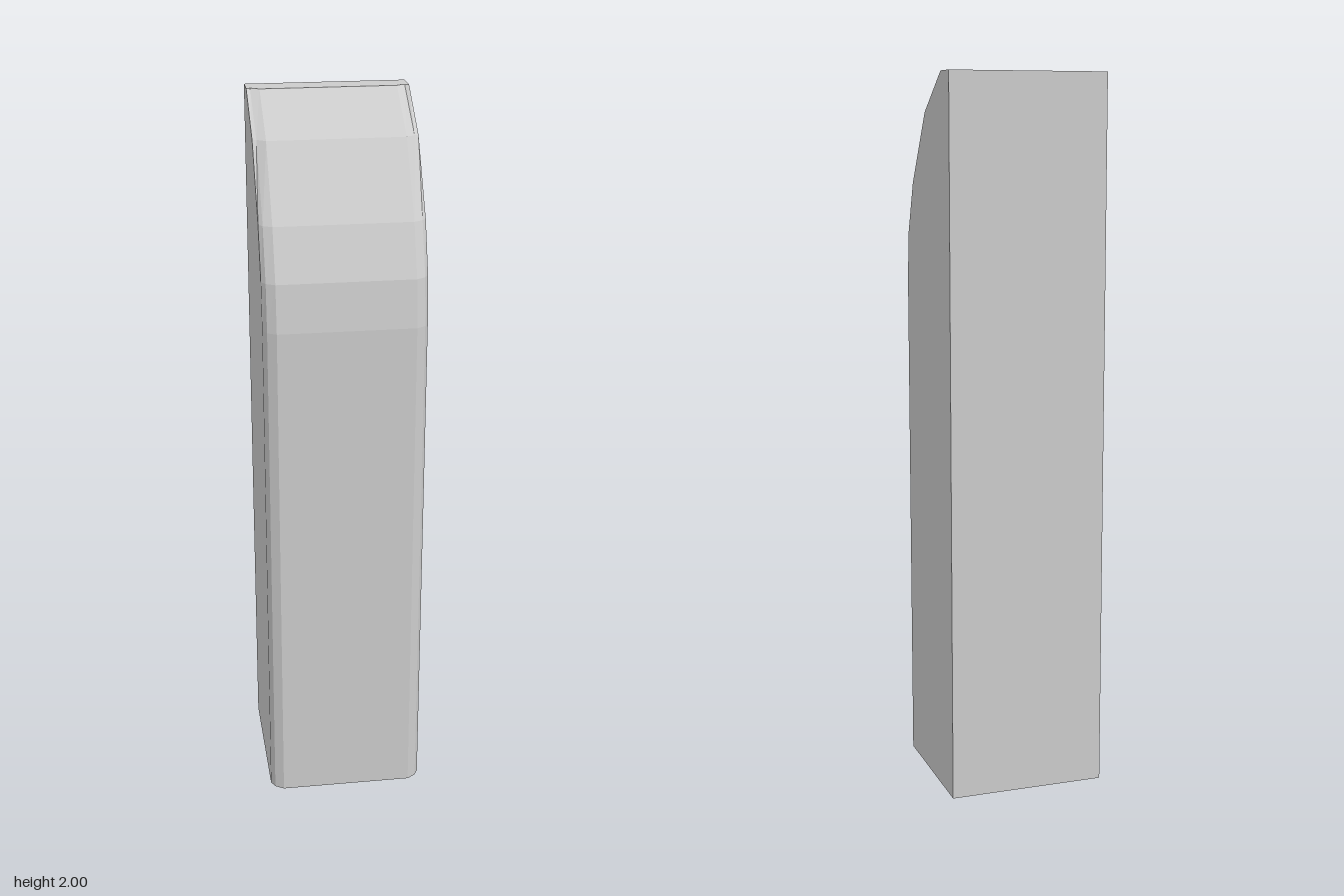
import * as THREE from 'three';

const HALF = 0.222; // half width, and distance to the flat back

// Rows up the post: height, then front z at the side edge, bevel middle and face
const ROWS = [
  [0, 0.186, 0.207, 0.222],
  [1.43, 0.186, 0.207, 0.222],
  [1.56, 0.174, 0.191, 0.205],
  [1.70, 0.125, 0.138, 0.151],
  [1.895, 0, 0.002, 0.019],
  [2, -0.15, -0.158, -0.143],
];

// Horizontal cross-section: square back corners, two-step bevelled front corners
function section([y, side, bevel, face]) {
  const left = [[HALF, -HALF], [HALF, side], [0.211, bevel], [0.187, face]];
  const right = left.map(([x, z]) => [-x, z]);
  return [...right, ...left.reverse()].map(([x, z]) => [x, y, z]);
}

function postGeometry() {
  const rings = ROWS.map(section);
  const n = rings[0].length;
  const pos = [];
  const tri = (a, b, c) => pos.push(...a, ...b, ...c);

  // Walls between neighbouring sections
  for (let r = 0; r < rings.length - 1; r++) {
    const lo = rings[r], hi = rings[r + 1];
    for (let i = 0; i < n; i++) {
      const j = (i + 1) % n;
      tri(lo[i], lo[j], hi[j]);
      tri(lo[i], hi[j], hi[i]);
    }
  }
  // Flat base and top
  const base = rings[0], top = rings[rings.length - 1];
  for (let i = 1; i < n - 1; i++) {
    tri(base[0], base[i + 1], base[i]);
    tri(top[0], top[i], top[i + 1]);
  }

  const geo = new THREE.BufferGeometry();
  geo.setAttribute('position', new THREE.Float32BufferAttribute(pos, 3));
  geo.computeVertexNormals();
  return geo;
}

export function createModel() {
  const group = new THREE.Group();
  const material = new THREE.MeshStandardMaterial({ color: 0xcccccc, flatShading: true });
  const post = new THREE.Mesh(postGeometry(), material);
  post.name = 'curvedTopPost';
  group.add(post);
  return group;
}
